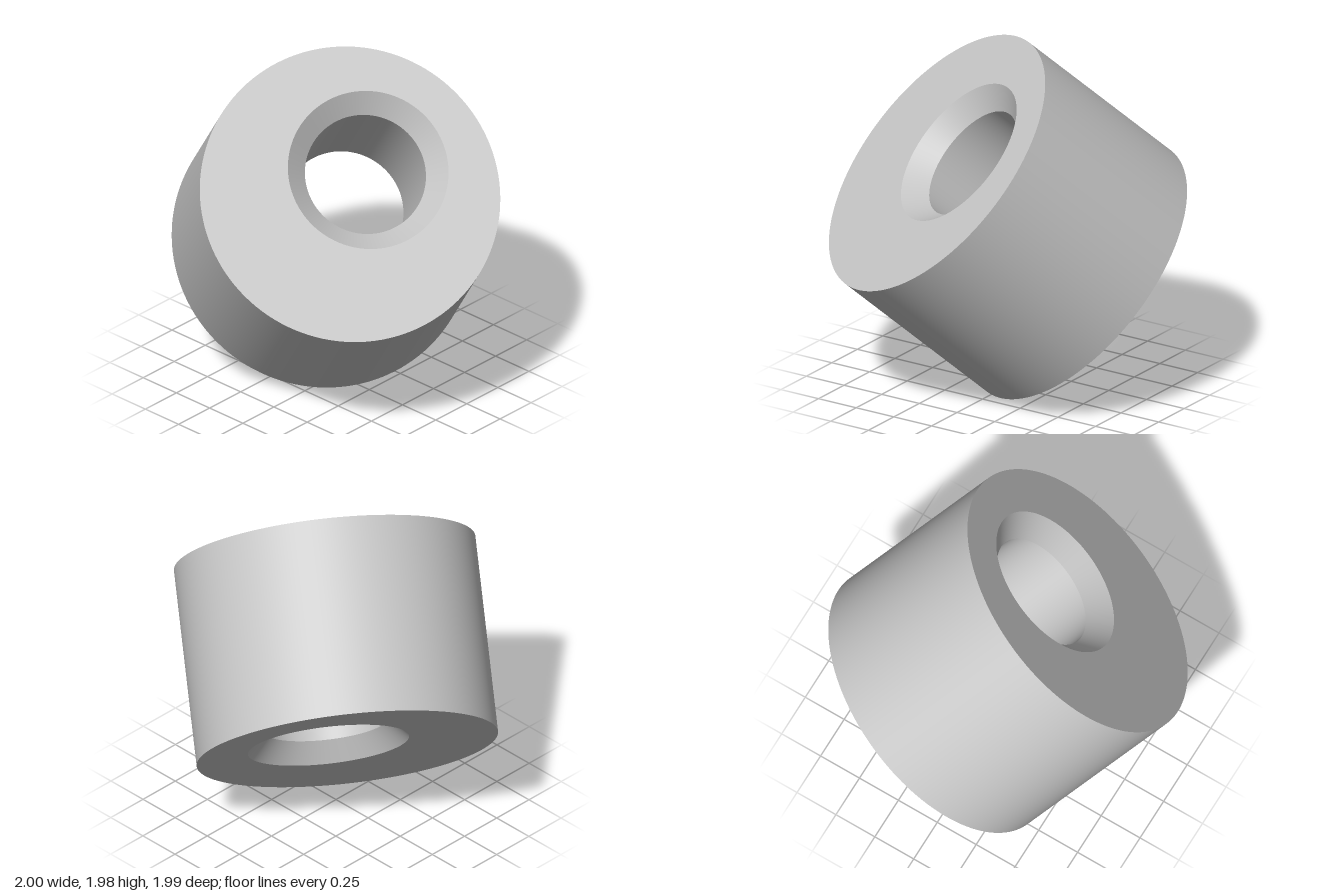
import * as THREE from 'three';

const R = 0.834, HALF = 0.556;          // outer radius, half length
const BORE = 0.336, SINK = 0.446;       // bore and countersink radii
const DEPTH = 0.11, OFFSET = 0.173;     // countersink depth, bore eccentricity
const SEG = 128;

export function createModel() {
  const grey = new THREE.MeshStandardMaterial({ color: 0xc4c4c4 });
  grey.name = 'grey';
  const group = new THREE.Group();
  group.name = 'eccentricBushing';

  const add = (name, geometry) => {
    const mesh = new THREE.Mesh(geometry, grey);
    mesh.name = name;
    group.add(mesh);
    return mesh;
  };

  // outer wall
  add('outerWall', new THREE.CylinderGeometry(R, R, HALF * 2, SEG, 1, true));

  // flat ends with an off-centre round opening
  const face = new THREE.Shape().absarc(0, 0, R, 0, Math.PI * 2);
  face.holes.push(new THREE.Path().absarc(OFFSET, 0, SINK, 0, Math.PI * 2, true));
  for (const side of [1, -1]) {
    const end = new THREE.ShapeGeometry(face, SEG / 2);
    end.rotateX(-side * Math.PI / 2).translate(0, side * HALF, 0);
    add(side > 0 ? 'upperFace' : 'lowerFace', end);
  }

  // bore surfaces, listed from top to bottom so they face inward
  const inner = HALF - DEPTH;
  const profile = [[SINK, HALF], [BORE, inner], [BORE, -inner], [SINK, -HALF]]
    .map(([r, y]) => new THREE.Vector2(r, y));
  ['upperCountersink', 'bore', 'lowerCountersink'].forEach((name, i) => {
    const wall = new THREE.LatheGeometry([profile[i], profile[i + 1]], SEG);
    add(name, wall.translate(OFFSET, 0, 0));
  });

  // tilt the axis, with the bore shifted up and back
  const axis = new THREE.Vector3(0.601, 0.667, 0.44).normalize();
  const shift = new THREE.Vector3(0, 0.093, -0.146);
  shift.addScaledVector(axis, -shift.dot(axis)).normalize();
  const across = new THREE.Vector3().crossVectors(shift, axis);
  group.quaternion.setFromRotationMatrix(new THREE.Matrix4().makeBasis(shift, axis, across));
  group.position.y = 0.992;

  const model = new THREE.Group();
  model.name = 'tiltedBushing';
  model.add(group);
  return model;
}
